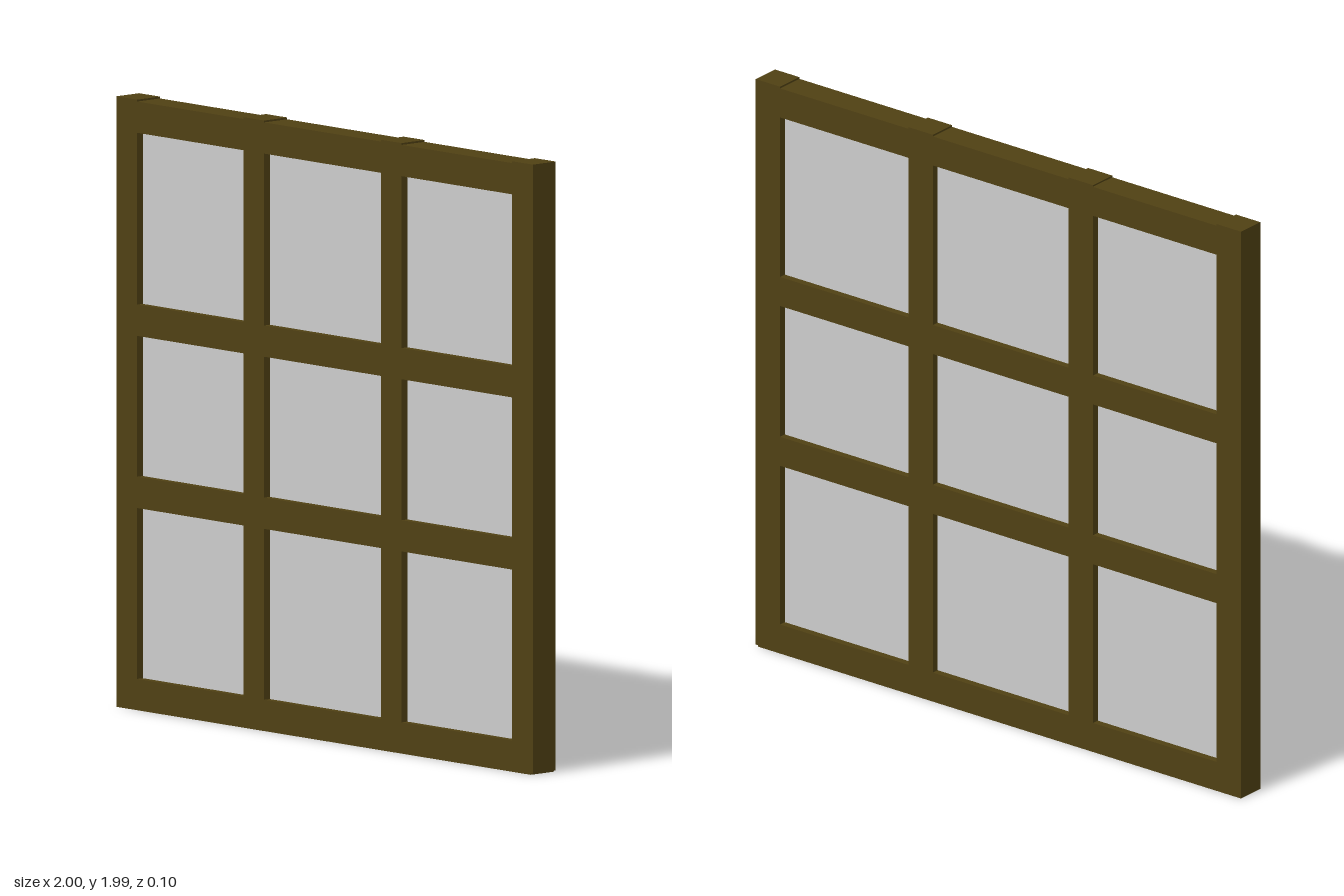
import * as THREE from 'three';

export function createModel() {
  const group = new THREE.Group();
  const wood = new THREE.MeshStandardMaterial({ color: 0x4f4013 });
  const glass = new THREE.MeshStandardMaterial({ color: 0xcccccc });

  // box given by its x and y extents, centred on z = 0
  function addBox(name, x0, x1, y0, y1, depth, material) {
    const mesh = new THREE.Mesh(new THREE.BoxGeometry(x1 - x0, y1 - y0, depth), material);
    mesh.position.set((x0 + x1) / 2, (y0 + y1) / 2, 0);
    mesh.name = name;
    group.add(mesh);
  }

  const bar = 0.1, depth = 0.1, height = 1.993;
  const stiles = [-1, -0.39, 0.27, 0.9]; // left edges
  const rails = [0, 0.66, 1.222, 1.885]; // bottom edges

  // uprights stand slightly proud of the top rail
  stiles.forEach((x, i) => addBox(`upright${i + 1}`, x, x + bar, i === 3 ? 0.005 : 0, height, depth, wood));

  // horizontal rails run between neighbouring uprights
  rails.forEach((y, j) => {
    for (let i = 0; i < 3; i++) {
      addBox(`rail${j + 1}Section${i + 1}`, stiles[i] + bar, stiles[i + 1], y, y + bar + 0.002, depth, wood);
    }
  });
  // end of the sill beneath the last upright
  addBox('sillEnd', 0.9, 0.99, 0, 0.005, depth, wood);

  // panes, recessed on both faces
  for (let j = 0; j < 3; j++) {
    for (let i = 0; i < 3; i++) {
      addBox(`pane${j * 3 + i + 1}`, stiles[i] + bar, stiles[i + 1], rails[j] + bar, rails[j + 1], 0.05, glass);
    }
  }
  return group;
}
